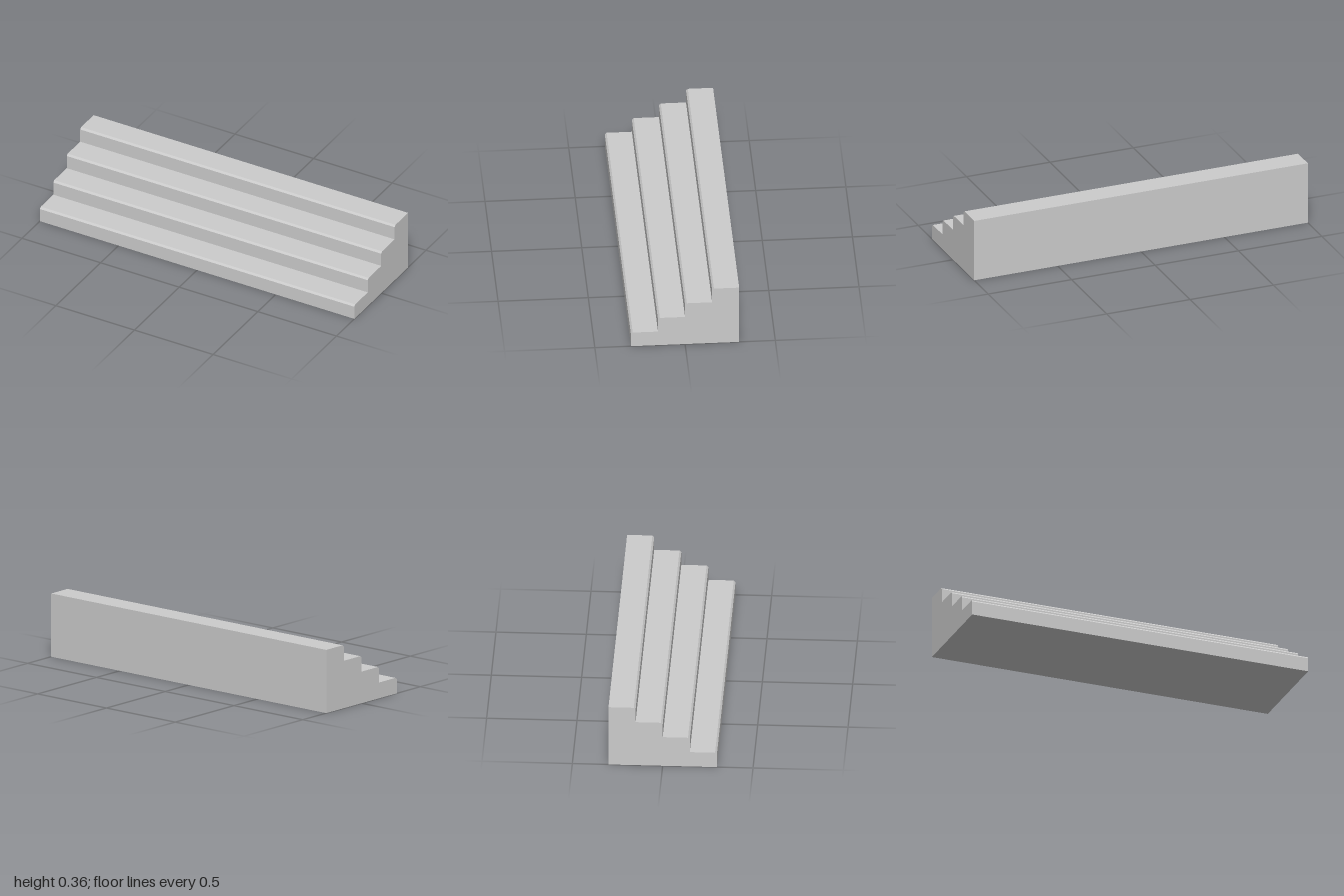
import * as THREE from 'three';

const STEPS = 4, TREAD = 0.15, RISE = 0.09, BEVEL = 0.01, WIDTH = 2;

export function createModel() {
  const group = new THREE.Group();
  group.name = 'staircase';
  const front = STEPS * TREAD / 2;

  // side profile, drawn as (z, y): each step is a riser, a bevelled nosing and a tread
  const profile = new THREE.Shape();
  profile.moveTo(-front, 0);
  profile.lineTo(front, 0);
  for (let i = 0; i < STEPS; i++) {
    const z = front - i * TREAD;
    const y = (i + 1) * RISE;
    profile.lineTo(z, y - BEVEL);
    profile.lineTo(z - BEVEL, y);
    profile.lineTo(z - TREAD, y);
  }
  profile.closePath();

  // sweep the profile across the full width, then turn it so the width runs along x
  const geometry = new THREE.ExtrudeGeometry(profile, { depth: WIDTH, bevelEnabled: false });
  geometry.translate(0, 0, -WIDTH / 2);
  geometry.rotateY(-Math.PI / 2);

  const steps = new THREE.Mesh(
    geometry,
    new THREE.MeshStandardMaterial({ color: 0xcccccc, flatShading: true })
  );
  steps.name = 'steps';
  group.add(steps);
  return group;
}
